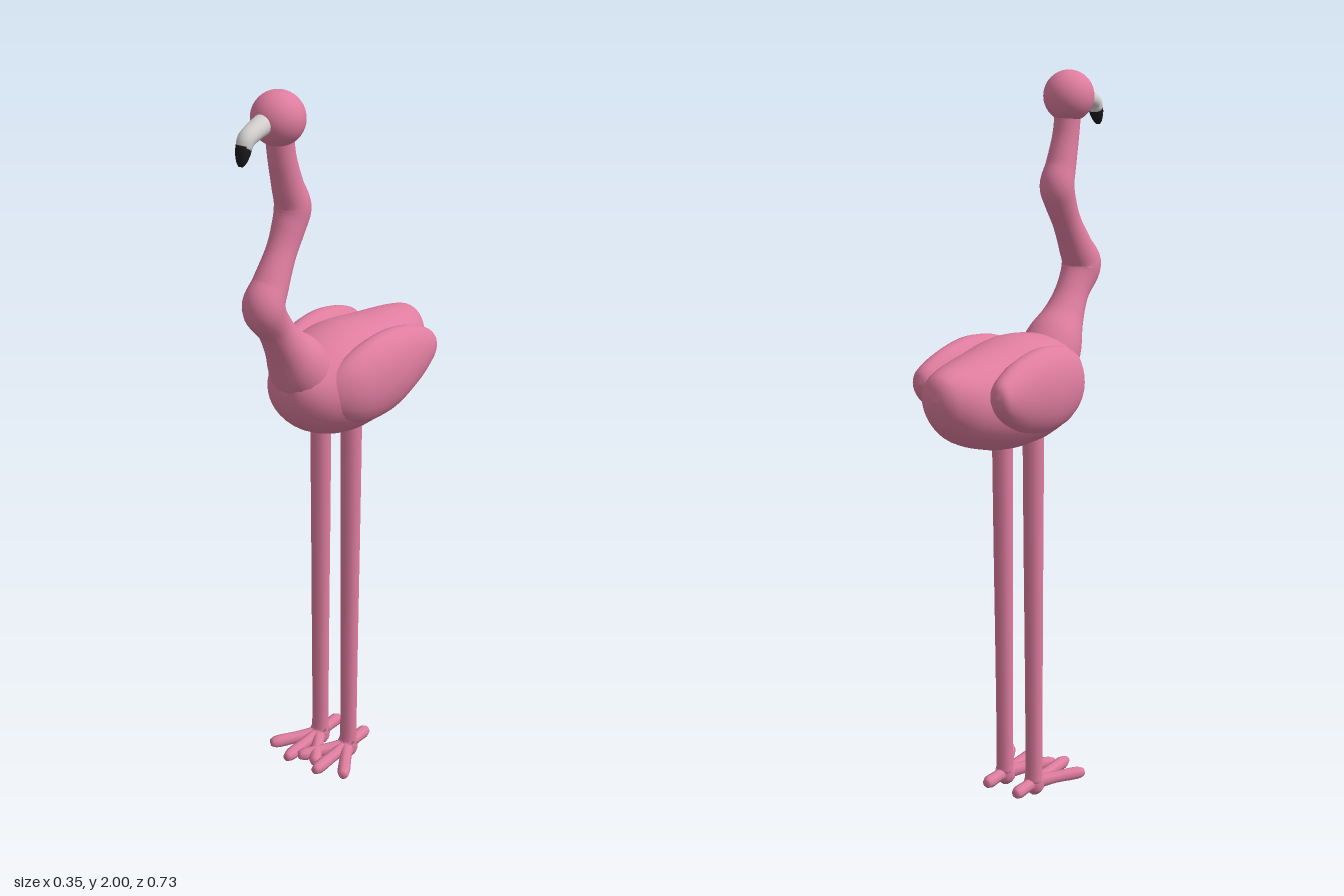
import * as THREE from 'three';

const pink = new THREE.MeshStandardMaterial({ color: 0xdf7d9f, name: 'pink plumage' });
const ivory = new THREE.MeshStandardMaterial({ color: 0xd6d2d2, name: 'ivory beak' });
const black = new THREE.MeshStandardMaterial({ color: 0x1c1a1c, name: 'black beak tip' });

const X = new THREE.Vector3(1, 0, 0);
const Y = new THREE.Vector3(0, 1, 0);
const Z = new THREE.Vector3(0, 0, 1);

// Smooth closed skin through stations [x, y, z, half width along side, half height].
// Rings follow the path, or stay square to a fixed axis if one is given.
function loft(stations, { side = X, axis = null, sides = 20, steps = 24 } = {}) {
  const path = new THREE.CatmullRomCurve3(stations.map(s => new THREE.Vector3(s[0], s[1], s[2])), false, 'catmullrom');
  const size = new THREE.CatmullRomCurve3(stations.map(s => new THREE.Vector3(s[3], s[4] ?? s[3], 0)), false, 'catmullrom');
  const pos = [], index = [];
  for (let i = 0; i <= steps; i++) {
    const t = i / steps, c = path.getPoint(t), r = size.getPoint(t);
    const T = axis ?? path.getTangent(t);
    const S = side.clone().addScaledVector(T, -side.dot(T)).normalize();
    const N = new THREE.Vector3().crossVectors(T, S);
    for (let j = 0; j < sides; j++) {
      const a = (j / sides) * Math.PI * 2;
      const p = c.clone().addScaledVector(S, Math.cos(a) * r.x).addScaledVector(N, Math.sin(a) * r.y);
      pos.push(p.x, p.y, p.z);
      if (i === steps) continue;
      const k = i * sides + j, n = i * sides + (j + 1) % sides;
      index.push(k, n, k + sides, n, n + sides, k + sides);
    }
  }
  // End caps
  const first = pos.length / 3, last = first + 1, end = steps * sides;
  pos.push(...stations[0].slice(0, 3), ...stations.at(-1).slice(0, 3));
  for (let j = 0; j < sides; j++) {
    const n = (j + 1) % sides;
    index.push(first, n, j, last, end + j, end + n);
  }
  const g = new THREE.BufferGeometry();
  g.setAttribute('position', new THREE.Float32BufferAttribute(pos, 3));
  g.setIndex(index);
  g.computeVertexNormals();
  return g;
}

export function createModel() {
  const model = new THREE.Group();
  model.name = 'wadingBird';
  const add = (name, geometry, material = pink, parent = model) => {
    const mesh = new THREE.Mesh(geometry, material);
    mesh.name = name;
    parent.add(mesh);
    return mesh;
  };

  // Body, tail to breast: [z, bottom, top, half width]
  const body = [
    [-0.365, 1.232, 1.238, 0.004], [-0.355, 1.19, 1.278, 0.038], [-0.33, 1.15, 1.3, 0.066],
    [-0.27, 1.1, 1.312, 0.1], [-0.15, 1.057, 1.326, 0.135], [-0.04, 1.046, 1.339, 0.152],
    [0.05, 1.056, 1.33, 0.146], [0.12, 1.083, 1.31, 0.118], [0.17, 1.122, 1.29, 0.085],
    [0.2, 1.165, 1.265, 0.045], [0.21, 1.21, 1.216, 0.004],
  ];
  add('body', loft(body.map(([z, lo, hi, w]) => [0, (lo + hi) / 2, z, w, (hi - lo) / 2]),
    { axis: Z, sides: 32, steps: 50 }));

  // Neck, from the breast up to the head
  add('neck', loft([
    [0, 1.22, 0.11, 0.085], [0, 1.29, 0.155, 0.078], [0, 1.35, 0.2, 0.056], [0, 1.41, 0.24, 0.046],
    [0, 1.475, 0.282, 0.054], [0, 1.53, 0.254, 0.046], [0, 1.6, 0.212, 0.039], [0, 1.655, 0.182, 0.042],
    [0, 1.705, 0.164, 0.046], [0, 1.76, 0.182, 0.04], [0, 1.84, 0.204, 0.035], [0, 1.93, 0.215, 0.035],
  ], { steps: 66 }));

  // Head
  const head = add('head', new THREE.SphereGeometry(0.067, 32, 20));
  head.position.set(0, 1.933, 0.215);

  // Hooked beak
  add('beak', loft([
    [0, 1.932, 0.265, 0.027, 0.026], [0, 1.922, 0.3, 0.026, 0.023],
    [0, 1.908, 0.332, 0.023, 0.021], [0, 1.888, 0.344, 0.02, 0.018],
  ], { steps: 15 }), ivory);
  add('beakTip', loft([
    [0, 1.895, 0.342, 0.0195, 0.019], [0, 1.878, 0.347, 0.019, 0.017],
    [0, 1.858, 0.353, 0.013, 0.011], [0, 1.848, 0.356, 0.006, 0.005],
  ], { steps: 12 }), black);

  for (const s of [1, -1]) {
    const label = s > 0 ? 'left' : 'right';

    // Folded wing
    add(label + 'Wing', loft([
      [s * 0.125, 1.24, -0.273, 0.004, 0.005], [s * 0.125, 1.238, -0.263, 0.026, 0.034],
      [s * 0.121, 1.232, -0.235, 0.039, 0.06], [s * 0.117, 1.224, -0.17, 0.051, 0.092],
      [s * 0.115, 1.217, -0.08, 0.06, 0.112], [s * 0.11, 1.211, 0.01, 0.058, 0.109],
      [s * 0.1, 1.208, 0.08, 0.05, 0.085], [s * 0.085, 1.205, 0.125, 0.03, 0.05],
      [s * 0.075, 1.205, 0.145, 0.004, 0.006],
    ], { axis: Z, sides: 24, steps: 40 }));

    // Leg with a slightly swollen ankle
    const leg = new THREE.Group();
    leg.name = label + 'Leg';
    leg.position.x = s * 0.051;
    model.add(leg);
    add('shank', loft([
      [0, 0.002, -0.002, 0.012], [0, 0.018, -0.002, 0.026], [0, 0.045, -0.003, 0.029], [0, 0.09, -0.005, 0.024],
      [0, 0.4, -0.007, 0.025], [0, 0.75, -0.01, 0.027], [0, 1.12, -0.012, 0.029],
    ], { sides: 12, steps: 36 }), pink, leg);

    // Three forward toes and one hind toe
    const toes = [[0.08, 0.128], [0, 0.158], [-0.08, 0.128], [0, -0.095]];
    toes.forEach(([x, z], i) => {
      add(i < 3 ? 'frontToe' : 'hindToe', loft([
        [0, 0.036, 0, 0.022], [s * x * 0.4, 0.038, z * 0.4, 0.017], [s * x * 0.85, 0.038, z * 0.85, 0.018],
        [s * x, 0.038, z, 0.011],
      ], { side: Y, sides: 8, steps: 9 }), pink, leg);
    });
  }
  return model;
}
